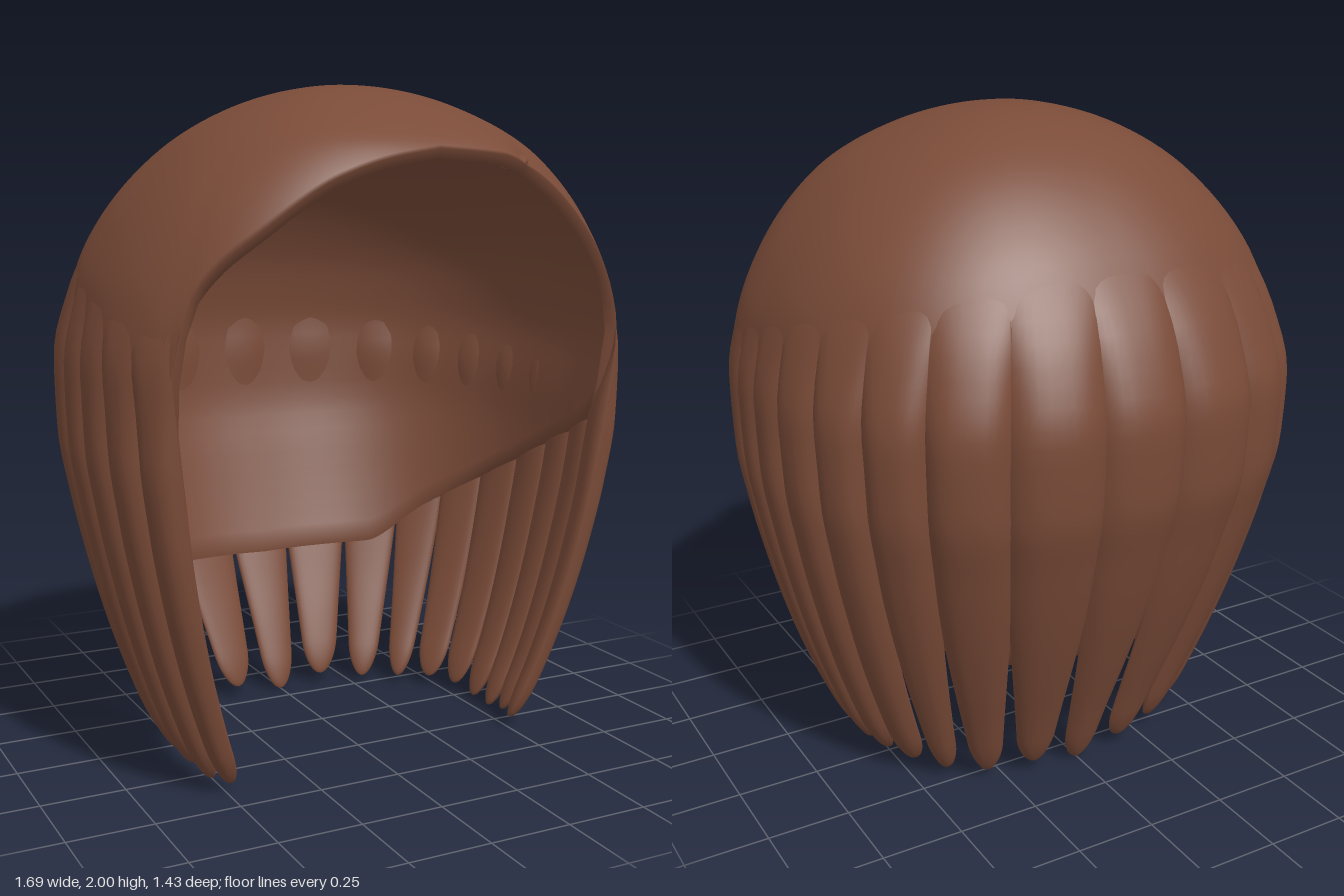
import * as THREE from 'three';
import { mergeVertices } from 'three/addons/utils/BufferGeometryUtils.js';

const CENTRE_Z = 0.13, RAD = Math.PI / 180;
const smooth = (a, b, x) => THREE.MathUtils.smoothstep(x, a, b);

// Monotone cubic interpolation through a few points
function curve(xs, ys) {
  const n = xs.length;
  const d = xs.slice(1).map((x, i) => (ys[i + 1] - ys[i]) / (x - xs[i]));
  const m = xs.map((_, i) => {
    if (i === 0) return d[0];
    if (i === n - 1) return d[n - 2];
    return d[i - 1] * d[i] > 0 ? (2 * d[i - 1] * d[i]) / (d[i - 1] + d[i]) : 0;
  });
  return (x) => {
    let i = 0;
    while (i < n - 2 && x > xs[i + 1]) i++;
    const h = xs[i + 1] - xs[i];
    const t = THREE.MathUtils.clamp((x - xs[i]) / h, 0, 1), t2 = t * t, t3 = t2 * t;
    return (2 * t3 - 3 * t2 + 1) * ys[i] + (t3 - 2 * t2 + t) * h * m[i]
      + (3 * t2 - 2 * t3) * ys[i + 1] + (t3 - t2) * h * m[i + 1];
  };
}

// Half width, back depth and front depth of the hair at each height
const DEPTHS = [2, 1.93, 1.8, 1.6, 1.4, 1.2, 1, 0.8, 0.6, 0.4, 0.2, 0].map((y) => Math.sqrt(2 - y));
const sideR = curve(DEPTHS, [0, 0.335, 0.545, 0.715, 0.805, 0.848, 0.842, 0.81, 0.765, 0.71, 0.64, 0.55]);
const backR = curve(DEPTHS, [0, 0.31, 0.5, 0.67, 0.785, 0.84, 0.83, 0.775, 0.71, 0.635, 0.555, 0.48]);
const frontR = curve(DEPTHS, [0, 0.345, 0.575, 0.69, 0.75, 0.78, 0.785, 0.775, 0.74, 0.68, 0.6, 0.52]);

// Lower edge of the cap by angle from the front, for each side
const edgeRight = curve([0, 14, 28, 43, 54, 57, 60, 90, 128, 145, 180],
  [1.8, 1.775, 1.72, 1.58, 1.42, 1.2, 1.0, 0.87, 0.6, 0.47, 0.455]);
const edgeLeft = curve([0, 20, 26, 33, 50, 61, 64, 90, 128, 145, 180],
  [1.8, 1.785, 1.765, 1.75, 1.56, 1.3, 1.05, 0.87, 0.6, 0.47, 0.455]);
const capEdge = (deg) => (deg < 0 ? edgeRight(-deg) : edgeLeft(deg));

// Point on the hair surface, sunk inwards by the given amount
function surface(deg, y, sink) {
  const s = Math.sin(deg * RAD), c = Math.cos(deg * RAD);
  const w = Math.sqrt(Math.max(0, 2 - y));
  const n = c > 0 ? 2.5 : 2.3;
  const a = Math.max(sideR(w), 1e-6), b = Math.max(c > 0 ? frontR(w) : backR(w), 1e-6);
  const k = 1 - sink / 0.85;
  const r = k * Math.pow(Math.pow(Math.abs(s) / a, n) + Math.pow(Math.abs(c) / b, n), -1 / n);
  // the left side of the fringe sits further back, in a step that fades upwards
  const band = 6 + 22 * smooth(1.78, 1.9, y);
  const pull = c > 0 ? 1 - 0.12 * smooth(28 - band, 28 + band, deg) : 1;
  return [s * r, y > 1.1 ? 1.1 + (y - 1.1) * k : y, CENTRE_Z + c * r * pull];
}

// Smooth surface from a grid of points
function gridGeometry(nu, nv, point) {
  const pos = [], index = [];
  for (let j = 0; j <= nv; j++)
    for (let i = 0; i <= nu; i++) pos.push(...point(i / nu, j));
  for (let j = 0; j < nv; j++)
    for (let i = 0; i < nu; i++) {
      const a = j * (nu + 1) + i, b = a + 1, c = a + nu + 1, d = c + 1;
      index.push(a, c, b, b, c, d);
    }
  let g = new THREE.BufferGeometry();
  g.setAttribute('position', new THREE.Float32BufferAttribute(pos, 3));
  g.setIndex(index);
  g = mergeVertices(g, 1e-5);
  g.computeVertexNormals();
  return g;
}

// How far the locks have separated at a height: 0 on the crown, 1 below
const partingY = (deg) => 1.5 - 0.2 * Math.cos(deg * RAD);
const parted = (deg, y) => 1 - smooth(partingY(deg) - 0.55, partingY(deg), y);

// Crown, fringe and inner lining as one sheet folded at its lower edge
function capGeometry() {
  const rows = 44;
  return gridGeometry(240, rows * 2 + 1, (u, j) => {
    const deg = -180 + 360 * u;
    const inner = j > rows;
    const t = (inner ? 2 * rows + 1 - j : j) / rows;
    const y = 2 - (2 - capEdge(deg)) * t * t;
    return surface(deg, y, 0.06 * parted(deg, y) + (inner ? 0.035 : 0));
  });
}

// One tapering lock: flat outer face with dipped edges, rounded tip
function lockGeometry(mid, half, tip, taper) {
  const rows = 44, dip = 0.05, top = partingY(mid);
  return gridGeometry(28, rows, (u, j) => {
    const y = tip + (top - tip) * Math.pow(1 - j / rows, 1.5);
    const low = Math.max(0, (0.7 - y) / 0.7);
    const cap = Math.min(1, (y - tip) / 0.11);
    const round = Math.sqrt(Math.max(0, 1 - (1 - cap) * (1 - cap)));
    const width = half * (1.05 - taper * Math.pow(low, 1.3)) * round;
    const g = parted(mid, y);
    const a = u * Math.PI * 2, s = Math.sin(a), c = Math.cos(a);
    const bulge = 0.026 * Math.exp(-Math.pow((y - 1.17) / 0.2, 2));
    const depth = s > 0 ? dip * Math.pow(Math.abs(c), 3) : dip + (0.03 + bulge) * -s;
    const sink = 0.004 * (1 - g) + g * depth;
    return surface(mid - c * width, y, THREE.MathUtils.lerp(0.045, sink, 0.1 + 0.9 * round));
  });
}

export function createModel() {
  const hair = new THREE.MeshStandardMaterial({ color: 0x7a4b38 });
  hair.name = 'chestnut brown';
  const model = new THREE.Group();
  model.name = 'bobHair';
  const add = (geometry, name, parent = model) => {
    const mesh = new THREE.Mesh(geometry, hair);
    mesh.name = name;
    parent.add(mesh);
    return mesh;
  };

  add(capGeometry(), 'crownAndLining');

  // Locks: one at the back, then mirrored pairs round to the face
  const locks = new THREE.Group();
  locks.name = 'locks';
  model.add(locks);
  add(lockGeometry(180, 9.5, 0, 0.42), 'backLock', locks);
  const bounds = [9.5, 29, 45, 58, 70, 82, 93, 104, 114, 123];
  for (const side of [-1, 1])
    for (let i = 0; i < bounds.length - 1; i++) {
      const k = side > 0 ? 0.965 : 1;
      const mid = ((bounds[i] + bounds[i + 1]) / 2) * k;
      const half = ((bounds[i + 1] - bounds[i]) / 2) * k;
      const tip = 0.01 + 0.025 * Math.abs(Math.sin(i * 2.4 + side));
      add(lockGeometry(side * (180 - mid), half, tip, i < 3 ? 0.42 : 0.15),
        side > 0 ? 'leftLock' : 'rightLock', locks);
    }

  // Small curl where the fringe parts
  const curl = add(new THREE.SphereGeometry(1, 20, 12), 'partingCurl');
  curl.scale.set(0.055, 0.018, 0.03);
  curl.position.set(0.28, 1.768, 0.625);
  curl.rotation.set(0.3, 0.4, 0.15);
  return model;
}
